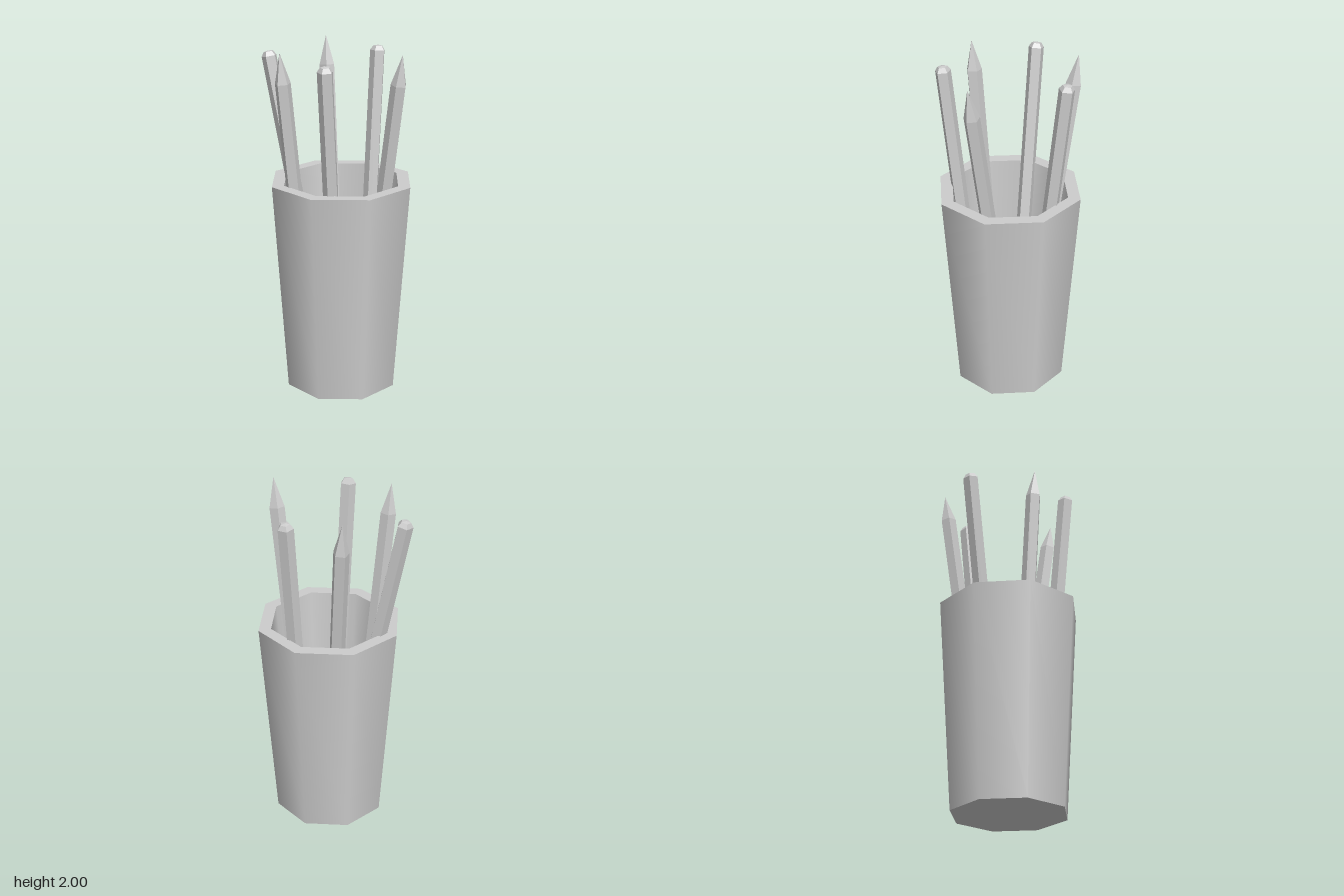
import * as THREE from 'three';

const UP = new THREE.Vector3(0, 1, 0);

export function createModel() {
  const model = new THREE.Group();
  model.name = 'pencilCup';
  const grey = new THREE.MeshStandardMaterial({ color: 0xcccccc });
  grey.name = 'plain grey';

  // Octagonal cup: each profile segment is its own lathe, so edges between them stay sharp
  const cup = new THREE.Group();
  cup.name = 'cup';
  cup.position.x = 0.038;
  const profile = [[0, 0], [0.335, 0], [0.418, 1.24], [0.345, 1.24], [0.255, 0.06], [0, 0.06]];
  const names = ['base', 'outerWall', 'rim', 'innerWall', 'floor'];
  names.forEach((name, i) => {
    const points = [profile[i], profile[i + 1]].map(([r, y]) => new THREE.Vector2(r, y));
    const mesh = new THREE.Mesh(new THREE.LatheGeometry(points, 8), grey);
    mesh.name = name;
    cup.add(mesh);
  });
  model.add(cup);

  // Five-sided faceted pencil running from its foot to its top point
  const R = 0.045;
  function addPencil(name, foot, top, pointed, cornerDegrees) {
    const a = new THREE.Vector3(...foot);
    const axis = new THREE.Vector3(...top).sub(a);
    const L = axis.length();
    const end = pointed
      ? [[R, L - 0.17], [0, L]]
      : [[R, L - 0.03], [R * 0.62, L - 0.005], [0, L]];
    const points = [[0, 0], [R, 0], ...end].map(([r, y]) => new THREE.Vector2(r, y));
    const start = THREE.MathUtils.degToRad(90 - cornerDegrees);
    const geometry = new THREE.LatheGeometry(points, 5, start).toNonIndexed();
    geometry.computeVertexNormals();
    const mesh = new THREE.Mesh(geometry, grey);
    mesh.name = name;
    mesh.position.copy(a);
    mesh.quaternion.setFromUnitVectors(UP, axis.normalize());
    model.add(mesh);
  }

  // Blunt ends up
  addPencil('bluntPencilRight', [-0.045, 0.08, -0.01], [-0.418, 1.945, -0.01], false, 18);
  addPencil('bluntPencilBack', [0.118, 0.08, -0.155], [0.118, 1.96, -0.347], false, 90);
  addPencil('bluntPencilFront', [0.098, 0.08, 0.162], [0.098, 1.96, 0.36], false, 90);
  // Sharp ends up
  addPencil('sharpPencilLeft', [0.158, 0.08, -0.05], [0.43, 2, 0.092], true, 18);
  addPencil('sharpPencilBack', [-0.025, 0.08, -0.108], [-0.197, 2, -0.318], true, 0);
  addPencil('sharpPencilFront', [-0.09, 0.08, 0.125], [-0.195, 2, 0.3], true, -42);

  return model;
}
